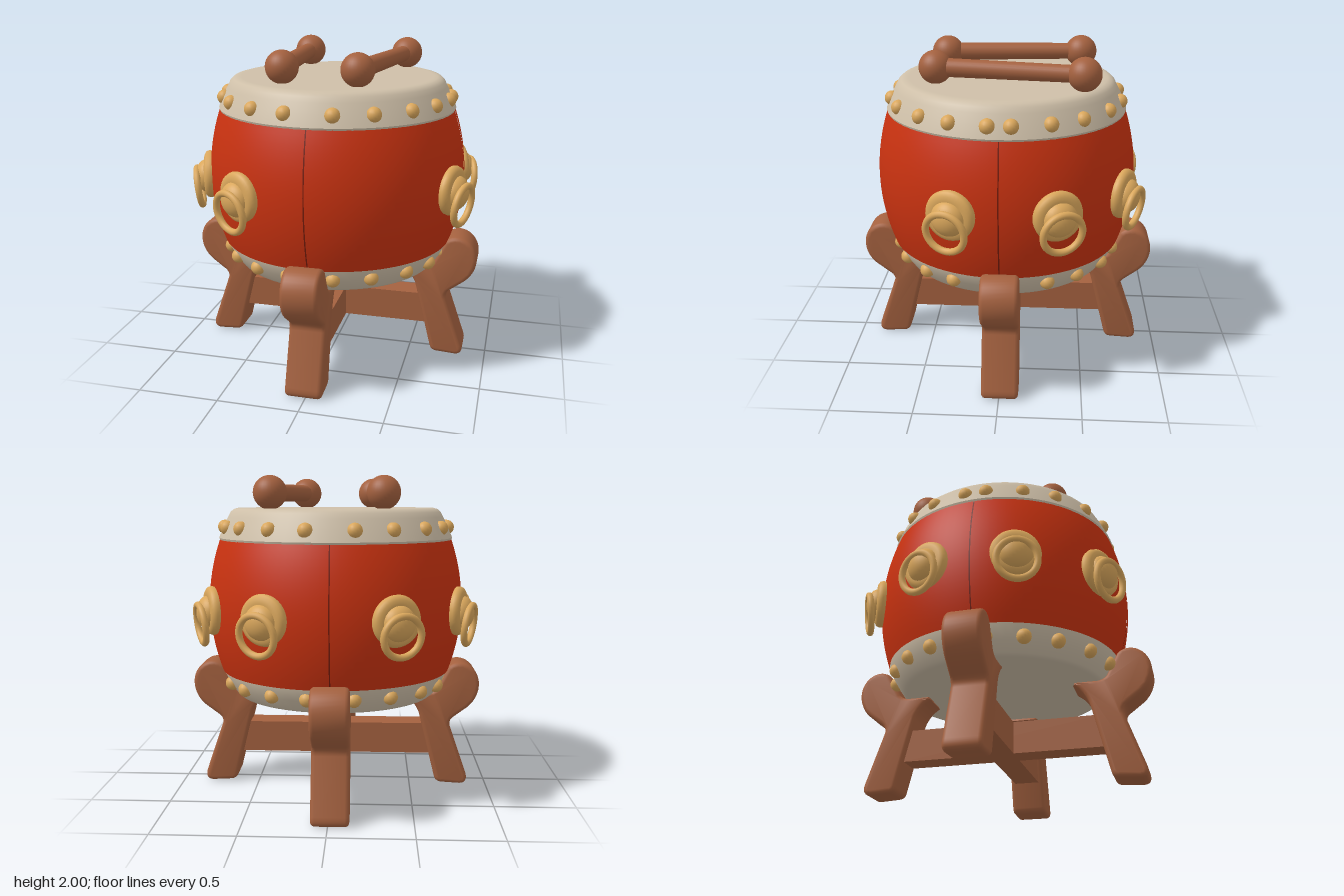
import * as THREE from 'three';
import { toCreasedNormals } from 'three/addons/utils/BufferGeometryUtils.js';

const material = (name, color) => {
  const m = new THREE.MeshStandardMaterial({ color });
  m.name = name;
  return m;
};

export function createModel() {
  const red = material('red lacquer', 0xc93210);
  const darkRed = material('seam dark red', 0x741b0a);
  const cream = material('cream skin', 0xcebfa8);
  const gold = material('gold', 0xdaa75c);
  const brown = material('brown wood', 0xa4613f);

  const model = new THREE.Group();
  model.name = 'drumOnStand';

  const add = (parent, name, geometry, mat, x = 0, y = 0, z = 0) => {
    const mesh = new THREE.Mesh(geometry, mat);
    mesh.name = name;
    mesh.position.set(x, y, z);
    parent.add(mesh);
    return mesh;
  };
  const profile = (pairs) => pairs.map(([x, y]) => new THREE.Vector2(x, y));

  const drum = new THREE.Group();
  drum.name = 'drum';
  drum.position.x = -0.008;
  model.add(drum);

  // Bulging body: four panels separated by narrow grooves over a dark core
  const bulge = (inset) => {
    const pts = [];
    for (let i = 0; i <= 20; i++) {
      const t = i / 10 - 1;
      pts.push(new THREE.Vector2(0.813 - 0.075 * t * t - inset, 1.2 + 0.42 * t));
    }
    return pts;
  };
  const gap = 0.01;
  for (let i = 0; i < 4; i++) {
    add(drum, 'bodyPanel', new THREE.LatheGeometry(bulge(0), 24,
      i * Math.PI / 2 + gap / 2, Math.PI / 2 - gap), red);
  }
  add(drum, 'seamCore', new THREE.LatheGeometry(bulge(0.01), 96), darkRed);

  // Skins wrapped over both ends
  const bottomSkin = [[0, 0.62], [0.62, 0.62], [0.635, 0.622], [0.65, 0.635],
    [0.695, 0.7], [0.737, 0.785], [0.737, 0.797], [0.7, 0.8]];
  const topSkin = [[0.7, 1.608], [0.74, 1.612], [0.745, 1.625], [0.715, 1.7],
    [0.685, 1.755], [0.67, 1.785], [0.65, 1.803], [0.625, 1.81], [0.6, 1.81], [0, 1.81]];
  for (const [name, pts] of [['bottomSkin', bottomSkin], ['topSkin', topSkin]]) {
    add(drum, name, toCreasedNormals(new THREE.LatheGeometry(profile(pts), 72), 0.7), cream);
  }

  // Studs, mirrored in each quadrant
  const studGeometry = new THREE.SphereGeometry(0.045, 16, 12);
  for (const [y, r] of [[0.715, 0.698], [1.69, 0.71]]) {
    for (const degrees of [5.3, 23.5, 40.5, 60, 78.7]) {
      const a = THREE.MathUtils.degToRad(degrees);
      for (const sx of [-1, 1]) {
        for (const sz of [-1, 1]) {
          add(drum, 'stud', studGeometry, gold, sx * r * Math.cos(a), y, sz * r * Math.sin(a));
        }
      }
    }
  }

  // Ring handles: back plate, knob and hanging ring
  const plateGeometry = new THREE.LatheGeometry(profile([[0.13, -0.04], [0.147, -0.015],
    [0.152, 0.01], [0.145, 0.03], [0.125, 0.042], [0.1, 0.045], [0, 0.045]]), 36);
  plateGeometry.rotateX(Math.PI / 2);
  const knobGeometry = new THREE.SphereGeometry(0.105, 28, 18);
  const ringGeometry = new THREE.TorusGeometry(0.12, 0.021, 12, 40);
  for (const degrees of [19.5, 121, 161, 200, 242.5, 297.5, 336]) {
    const a = THREE.MathUtils.degToRad(degrees);
    const handle = new THREE.Group();
    handle.name = 'ringHandle';
    handle.position.set(0.81 * Math.cos(a), 1.185, 0.81 * Math.sin(a));
    handle.rotation.y = Math.PI / 2 - a;
    drum.add(handle);
    add(handle, 'handlePlate', plateGeometry, gold);
    add(handle, 'handleKnob', knobGeometry, gold, 0, -0.01, 0.03).scale.z = 0.72;
    add(handle, 'handleRing', ringGeometry, gold, 0, -0.08, 0.08).rotation.x = 0.12;
  }

  // Stand legs: rounded head, notch and splayed foot
  const leg = new THREE.Shape();
  leg.moveTo(0.44, 0.605);
  leg.lineTo(0.475, 0.58);
  leg.quadraticCurveTo(0.525, 0.53, 0.54, 0.475);
  leg.lineTo(0.645, 0.05);
  leg.quadraticCurveTo(0.655, 0.018, 0.69, 0.015);
  leg.lineTo(0.81, 0.008);
  leg.quadraticCurveTo(0.87, 0.01, 0.852, 0.075);
  leg.lineTo(0.74, 0.4);
  leg.quadraticCurveTo(0.73, 0.44, 0.77, 0.465);
  leg.lineTo(0.85, 0.525);
  leg.bezierCurveTo(0.925, 0.585, 0.95, 0.7, 0.89, 0.775);
  leg.bezierCurveTo(0.84, 0.835, 0.76, 0.835, 0.72, 0.79);
  leg.lineTo(0.65, 0.655);
  leg.quadraticCurveTo(0.63, 0.625, 0.58, 0.625);
  leg.lineTo(0.45, 0.625);
  const bevel = 0.025, width = 0.225;
  const legExtrude = new THREE.ExtrudeGeometry(leg, {
    depth: width - 2 * bevel, curveSegments: 10, bevelEnabled: true,
    bevelSize: bevel, bevelThickness: bevel, bevelOffset: -bevel, bevelSegments: 3,
  });
  legExtrude.translate(0, 0, bevel - width / 2);
  const legGeometry = toCreasedNormals(legExtrude, 0.7);

  const stand = new THREE.Group();
  stand.name = 'stand';
  stand.position.set(-0.012, 0, -0.005);
  model.add(stand);
  for (let i = 0; i < 4; i++) {
    const arm = new THREE.Group();
    arm.name = 'leg';
    arm.rotation.y = i * Math.PI / 2;
    stand.add(arm);
    add(arm, 'legBoard', legGeometry, brown, i % 2 ? 0.022 : 0.008);
  }
  // Crossed stretchers
  for (const turn of [0, Math.PI / 2]) {
    add(stand, 'stretcher', new THREE.BoxGeometry(1.28, 0.2, 0.16), brown, 0, 0.31, 0).rotation.y = turn;
  }

  // Drumsticks with a ball at each end
  const ballGeometry = new THREE.SphereGeometry(0.1, 32, 20);
  for (const [x1, z1, x2, z2] of [[-0.31, -0.465, -0.25, 0.39], [0.355, -0.47, 0.21, 0.41]]) {
    const stick = new THREE.Group();
    stick.name = 'drumstick';
    const length = Math.hypot(x2 - x1, z2 - z1);
    stick.position.set((x1 + x2) / 2, 1.903, (z1 + z2) / 2);
    stick.rotation.y = Math.atan2(x2 - x1, z2 - z1);
    model.add(stick);
    add(stick, 'stickShaft', new THREE.CylinderGeometry(0.056, 0.05, length, 24), brown).rotation.x = Math.PI / 2;
    for (const s of [-1, 1]) add(stick, 'stickBall', ballGeometry, brown, 0, 0, s * length / 2);
  }
  return model;
}
